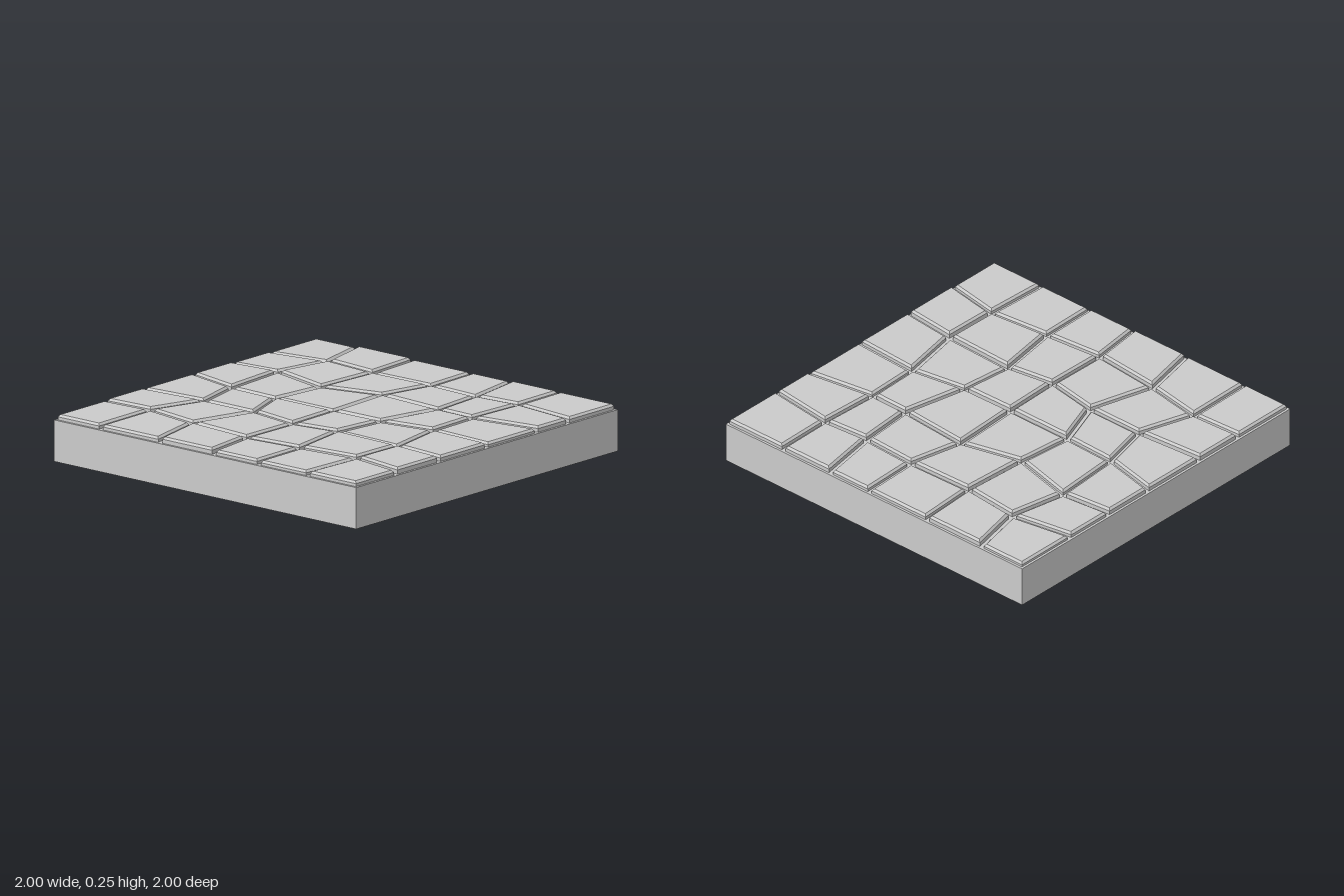
import * as THREE from 'three';

const BASE_TOP = 0.215;

// Joint crossings: seven rows from back to front, each [x, z] from right side to left side
const JOINTS = [
  [[-1, -1], [-0.72, -1], [-0.35, -1], [0.04, -1], [0.3, -1], [0.62, -1], [1, -1]],
  [[-1, -0.63], [-0.65, -0.69], [-0.33, -0.66], [0.05, -0.67], [0.36, -0.655], [0.625, -0.675], [1, -0.63]],
  [[-1, -0.345], [-0.71, -0.375], [-0.35, -0.285], [-0.015, -0.37], [0.385, -0.34], [0.61, -0.335], [1, -0.395]],
  [[-1, -0.055], [-0.68, 0.015], [-0.38, 0.025], [0.005, 0.025], [0.31, 0.02], [0.62, -0.03], [1, -0.01]],
  [[-1, 0.33], [-0.61, 0.3], [-0.28, 0.3], [0.015, 0.35], [0.28, 0.31], [0.69, 0.325], [1, 0.355]],
  [[-1, 0.62], [-0.705, 0.605], [-0.38, 0.66], [0.01, 0.695], [0.34, 0.665], [0.685, 0.63], [1, 0.685]],
  [[-1, 1], [-0.7, 1], [-0.305, 1], [0.05, 1], [0.345, 1], [0.67, 1], [1, 1]],
];

// Moves every edge of a four-cornered outline inwards by the same distance
function insetOutline(corners, distance) {
  const inward = corners.map((p, i) => {
    const q = corners[(i + 1) % 4];
    return new THREE.Vector2(q[1] - p[1], p[0] - q[0]).normalize();
  });
  return corners.map((p, i) => {
    const a = inward[(i + 3) % 4], b = inward[i];
    const k = distance / (1 + a.dot(b));
    return [p[0] + (a.x + b.x) * k, p[1] + (a.y + b.y) * k];
  });
}

// Stone with upright sides, a bevelled rim and a flat top
function stoneGeometry(corners, top) {
  const rings = [[0.013, BASE_TOP], [0.013, top - 0.012], [0.023, top]].map(([inset, y]) =>
    insetOutline(corners, inset).map(([x, z]) => [x, y, z]));
  const positions = [];
  const quad = (a, b, c, d) => positions.push(...a, ...b, ...c, ...a, ...c, ...d);
  for (let r = 0; r < 2; r++) {
    for (let i = 0; i < 4; i++) {
      const j = (i + 1) % 4;
      quad(rings[r][i], rings[r][j], rings[r + 1][j], rings[r + 1][i]);
    }
  }
  quad(...rings[2]);
  const geometry = new THREE.BufferGeometry();
  geometry.setAttribute('position', new THREE.Float32BufferAttribute(positions, 3));
  geometry.computeVertexNormals();
  return geometry;
}

export function createModel() {
  const model = new THREE.Group();
  model.name = 'stonePavingTile';
  const material = new THREE.MeshStandardMaterial({ color: 0xcccccc, flatShading: true });

  // Solid slab below the paving
  const base = new THREE.Mesh(new THREE.BoxGeometry(2, BASE_TOP, 2), material);
  base.name = 'baseSlab';
  base.position.y = BASE_TOP / 2;
  model.add(base);

  // Paving stones with slightly uneven heights
  const stones = new THREE.Group();
  stones.name = 'pavingStones';
  let seed = 7;
  const random = () => (seed = (seed * 16807) % 2147483647) / 2147483647;
  for (let row = 0; row < 6; row++) {
    for (let col = 0; col < 6; col++) {
      const corners = [JOINTS[row][col], JOINTS[row + 1][col], JOINTS[row + 1][col + 1], JOINTS[row][col + 1]];
      const stone = new THREE.Mesh(stoneGeometry(corners, 0.239 + 0.011 * random()), material);
      stone.name = `stone_${row + 1}_${col + 1}`;
      stones.add(stone);
    }
  }
  model.add(stones);
  return model;
}
